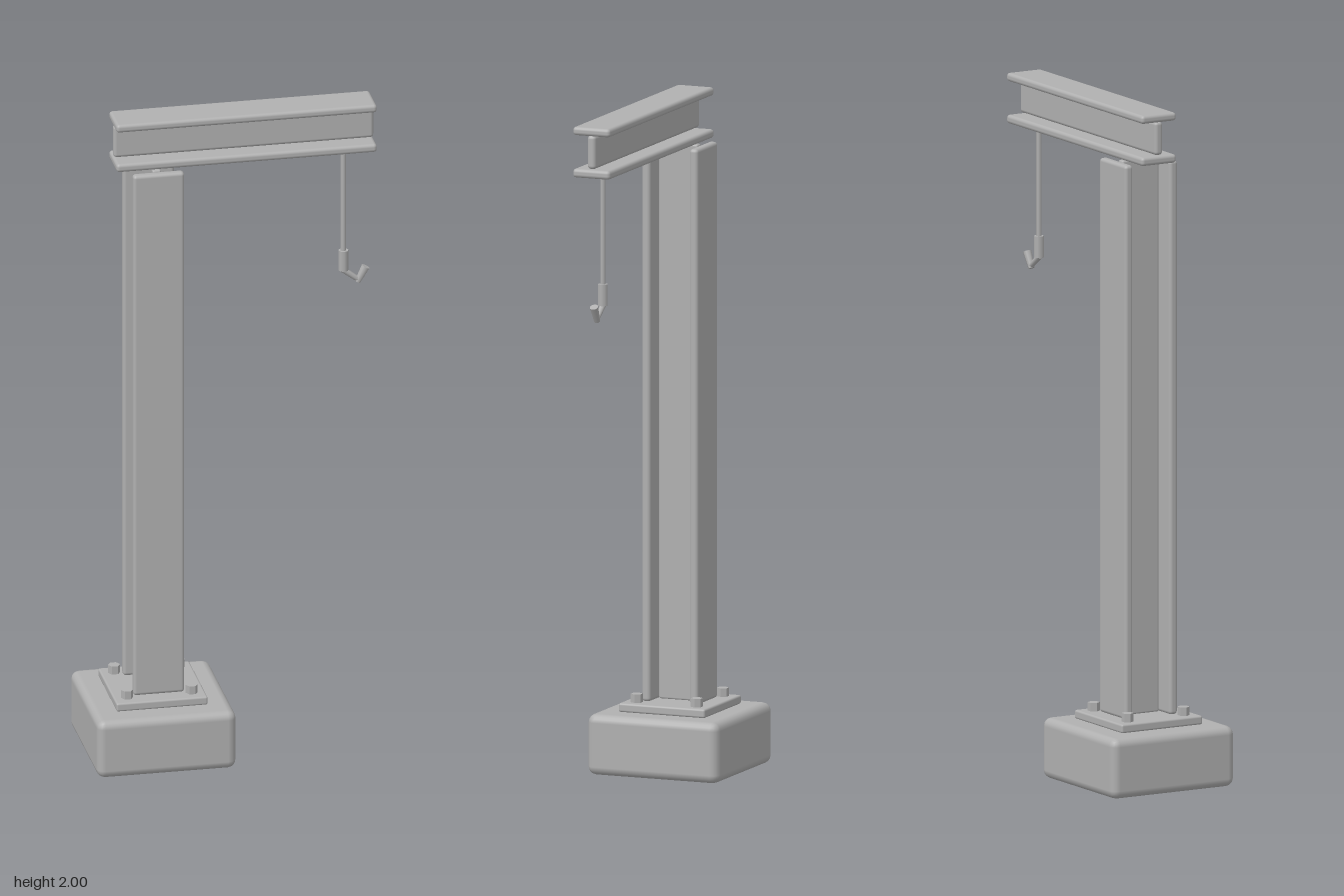
import * as THREE from 'three';
import { RoundedBoxGeometry } from 'three/addons/geometries/RoundedBoxGeometry.js';

export function createModel() {
  const crane = new THREE.Group();
  crane.name = 'pillarCrane';
  const grey = new THREE.MeshStandardMaterial({ color: 0xb0b0b0 });
  grey.name = 'paintedGrey';

  const add = (name, geometry, x, y, z) => {
    const mesh = new THREE.Mesh(geometry, grey);
    mesh.name = name;
    mesh.position.set(x, y, z);
    crane.add(mesh);
    return mesh;
  };
  // Rounded box given by its limits on each axis
  const block = (name, [x0, x1], [y0, y1], [z0, z1], radius, segments = 2) =>
    add(name, new RoundedBoxGeometry(x1 - x0, y1 - y0, z1 - z0, segments, radius),
      (x0 + x1) / 2, (y0 + y1) / 2, (z0 + z1) / 2);
  // Round bar between two points in the z = 0 plane
  const bar = (name, [x0, y0], [x1, y1], r0, r1, sides = 8) => {
    const dir = new THREE.Vector3(x1 - x0, y1 - y0, 0);
    const mesh = add(name, new THREE.CylinderGeometry(r1, r0, dir.length(), sides),
      (x0 + x1) / 2, (y0 + y1) / 2, 0);
    mesh.quaternion.setFromUnitVectors(new THREE.Vector3(0, 1, 0), dir.normalize());
  };

  // Foundation and base plate
  block('foundation', [-0.43, -0.017], [0, 0.18], [-0.208, 0.208], 0.025);
  block('basePlate', [-0.36, -0.089], [0.18, 0.206], [-0.137, 0.137], 0.006);

  // Hexagonal anchor bolts
  for (const x of [-0.321, -0.129]) {
    for (const z of [-0.095, 0.095]) {
      const bolt = add('anchorBolt', new THREE.CylinderGeometry(0.018, 0.018, 0.026, 6).toNonIndexed(), x, 0.218, z);
      bolt.rotation.y = Math.PI / 2;
      bolt.geometry.computeVertexNormals();
    }
  }

  // Upright I-beam: web across z, flanges facing front and back
  block('columnWeb', [-0.238, -0.212], [0.205, 1.85], [-0.062, 0.062], 0.006);
  block('columnFlangeFront', [-0.3, -0.148], [0.205, 1.848], [0.062, 0.089], 0.01);
  block('columnFlangeBack', [-0.3, -0.148], [0.205, 1.848], [-0.089, -0.062], 0.01);

  // Horizontal I-beam
  block('boomWeb', [-0.343, 0.429], [1.878, 1.977], [-0.013, 0.013], 0.01);
  block('boomFlangeTop', [-0.344, 0.43], [1.975, 2], [-0.059, 0.059], 0.01);
  block('boomFlangeBottom', [-0.344, 0.43], [1.85, 1.876], [-0.059, 0.059], 0.01);

  // Cable, weight and hook
  bar('cable', [0.341, 1.5], [0.341, 1.86], 0.008, 0.008);
  bar('cableWeight', [0.341, 1.462], [0.341, 1.525], 0.015, 0.015);
  bar('hookShank', [0.336, 1.466], [0.388, 1.427], 0.009, 0.008);
  bar('hookTip', [0.383, 1.422], [0.407, 1.468], 0.009, 0.013);

  return crane;
}
